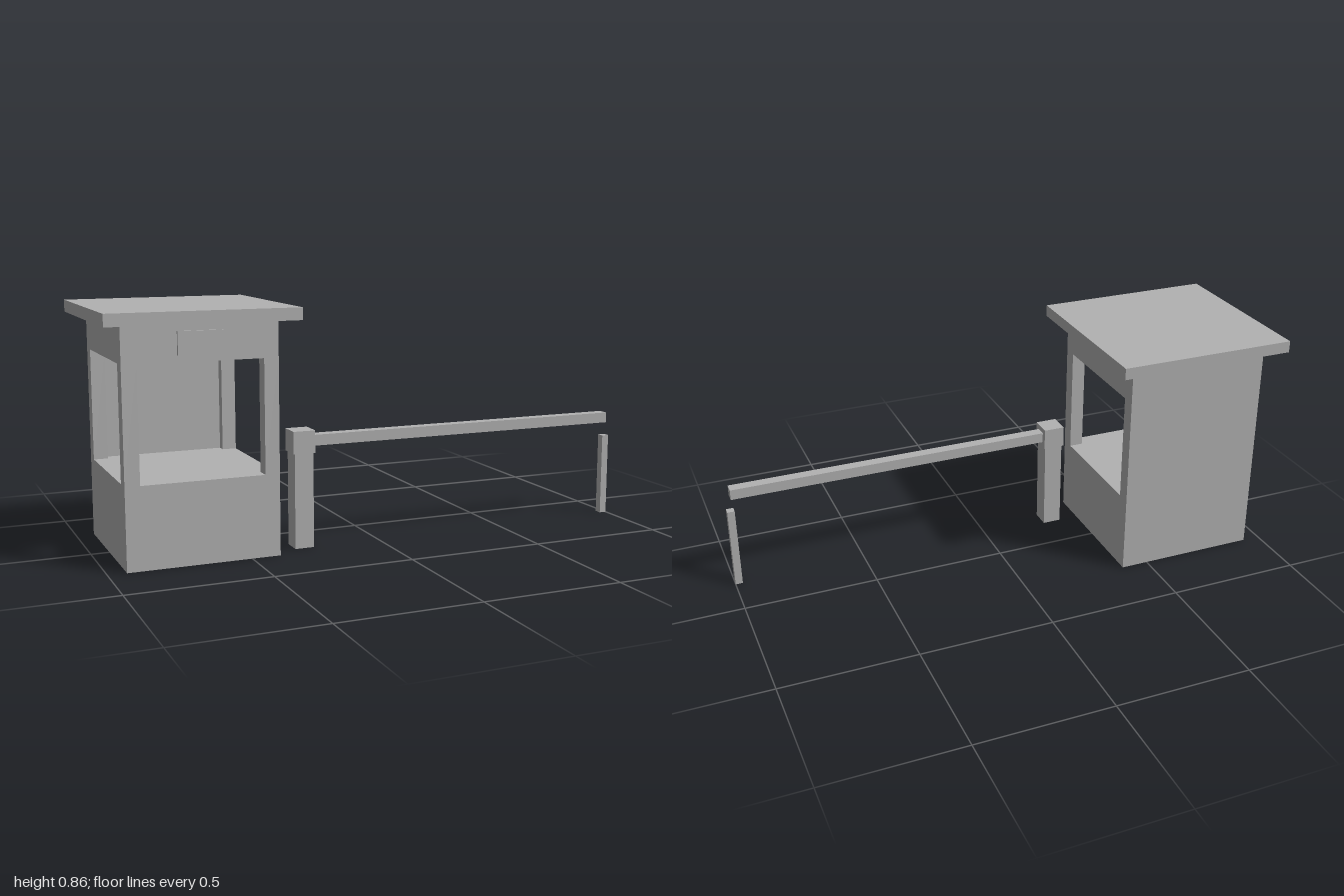
import * as THREE from 'three';

export function createModel() {
  const model = new THREE.Group();
  model.name = 'gatehouse';
  const grey = new THREE.MeshStandardMaterial({ color: 0xb2b2b2 });
  grey.name = 'plain grey';

  // Box given by its extents along each axis
  const block = (parent, name, [x0, x1], [y0, y1], [z0, z1]) => {
    const mesh = new THREE.Mesh(new THREE.BoxGeometry(x1 - x0, y1 - y0, z1 - z0), grey);
    mesh.position.set((x0 + x1) / 2, (y0 + y1) / 2, (z0 + z1) / 2);
    mesh.name = name;
    parent.add(mesh);
  };

  // Booth: solid base and header, corner posts, thin closed back
  const booth = new THREE.Group();
  booth.name = 'booth';
  model.add(booth);
  const left = -0.935, right = -0.397, back = -0.272, front = 0.273;
  const sill = 0.29, lintel = 0.691, eaves = 0.82, post = 0.052;
  block(booth, 'base', [left, right], [0, sill], [back, front]);
  block(booth, 'header', [left, right], [lintel, eaves], [back, front]);
  for (const x of [left, right - post])
    for (const z of [back, front - post])
      block(booth, 'cornerPost', [x, x + post], [sill, lintel], [z, z + post]);
  block(booth, 'backWall', [left + post, right - post], [sill, lintel], [back, back + 0.018]);
  block(booth, 'roof', [-1, -0.332], [eaves, 0.863], [-0.335, 0.335]);
  block(booth, 'signPlate', [-0.748, -0.59], [0.713, 0.794], [front, front + 0.009]);

  // Barrier: pivot post with head, horizontal arm, and rest post at the far end
  const barrier = new THREE.Group();
  barrier.name = 'barrier';
  model.add(barrier);
  block(barrier, 'pivotPost', [-0.322, -0.252], [0, 0.342], [0.147, 0.219]);
  block(barrier, 'pivotHead', [-0.328, -0.247], [0.342, 0.422], [0.142, 0.224]);
  block(barrier, 'arm', [-0.247, 0.983], [0.363, 0.402], [0.162, 0.203]);
  block(barrier, 'restPost', [0.973, 1], [0, 0.31], [0.169, 0.197]);

  return model;
}
